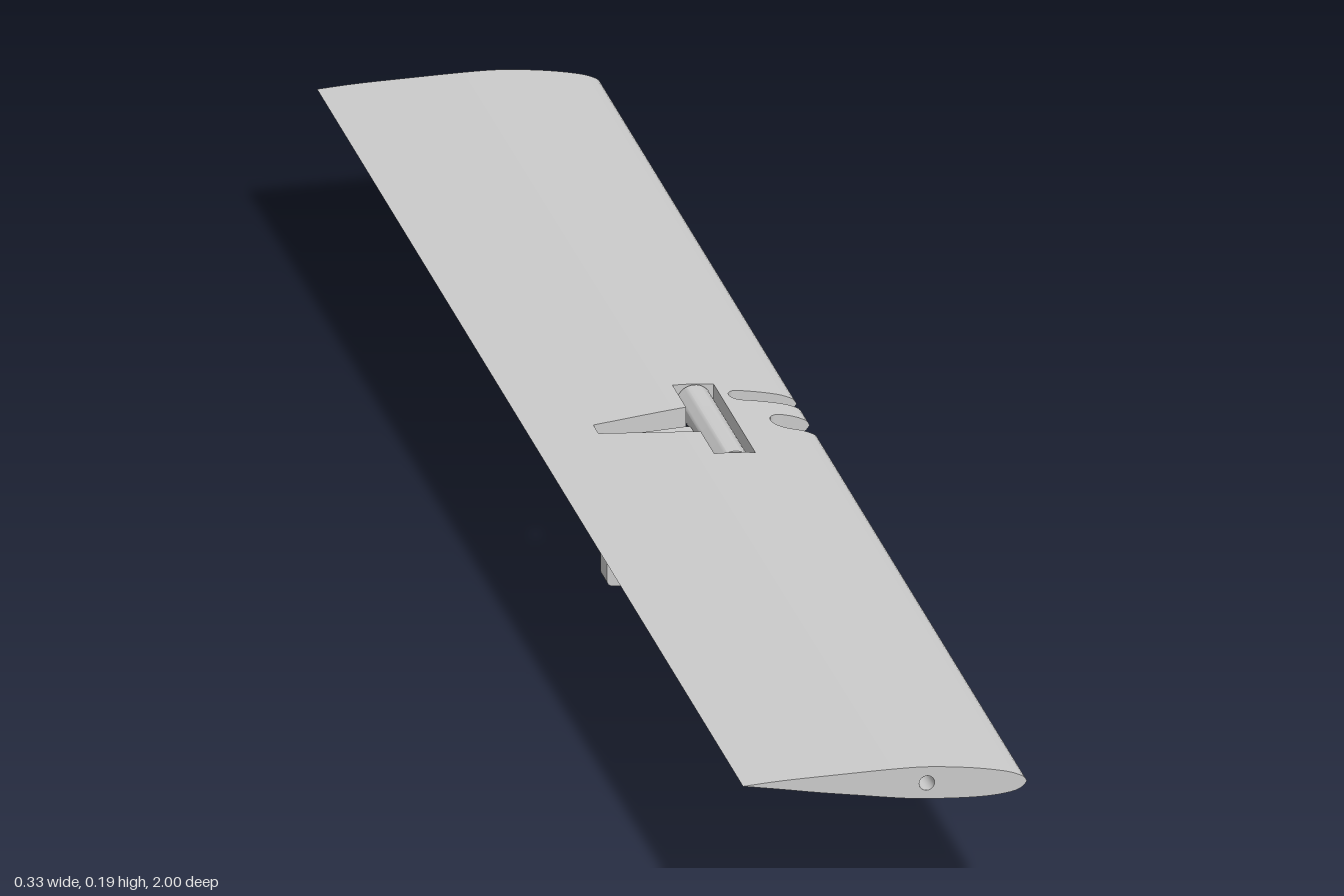
import * as THREE from 'three';
import { toCreasedNormals } from 'three/addons/utils/BufferGeometryUtils.js';

const grey = new THREE.MeshStandardMaterial({ color: 0xcccccc });
const thin = new THREE.MeshStandardMaterial({ color: 0xcccccc, side: THREE.DoubleSide });
const PIVOT = [0.048, 0.169], BORE = 0.009;

function add(parent, name, geometry, material = grey) {
  const mesh = new THREE.Mesh(geometry, material);
  mesh.name = name;
  parent.add(mesh);
  return mesh;
}

// Height of a smooth profile line at x
function profile(points) {
  const pts = new THREE.SplineCurve(points.map(p => new THREE.Vector2(...p))).getPoints(200);
  return x => {
    let i = 1;
    while (i < pts.length - 1 && pts[i].x < x) i++;
    const a = pts[i - 1], b = pts[i];
    const t = THREE.MathUtils.clamp((x - a.x) / (b.x - a.x), 0, 1);
    return a.y + (b.y - a.y) * t;
  };
}
const top = profile([[-0.167, 0.188], [-0.12, 0.19], [-0.05, 0.1905], [0.01, 0.1905], [0.05, 0.189],
  [0.1, 0.1825], [0.14, 0.174], [0.158, 0.167], [0.163, 0.163], [0.165, 0.159]]);
const bottom = profile([[-0.167, 0.188], [-0.12, 0.179], [-0.08, 0.171], [-0.03, 0.162], [0.028, 0.152],
  [0.08, 0.147], [0.12, 0.1455], [0.148, 0.148], [0.16, 0.153], [0.165, 0.159]]);

// Cut-outs seen in plan: x range, centre z and half width along x
const slot = (x0, z, r) => ({
  x0, x1: 0.165, z, half: x => (x > x0 + r ? r : Math.sqrt(Math.max(0, r * r - (x0 + r - x) ** 2)))
});
const cuts = [
  { x0: 0.024, x1: 0.072, z: 0, half: () => 0.098 },
  { x0: -0.09, x1: 0.024, z: 0, half: x => 0.012 + (x + 0.09) / 0.114 * 0.023 },
  slot(0.114, 0, 0.02),
  slot(0.082, -0.068, 0.0135)
];

// Wing stations, dense at the nose and around the slot ends
function stations() {
  const xs = new Set([-0.09, 0.024, 0.072]);
  for (let i = 0; i <= 40; i++) xs.add(+(-0.001 + 0.166 * Math.cos(Math.PI * (1 - i / 40))).toFixed(5));
  for (const c of cuts.slice(2)) for (let i = 0; i <= 8; i++) xs.add(+(c.x0 + 0.02 * (i / 8) ** 2).toFixed(5));
  return [...xs].sort((a, b) => a - b);
}

function wingSkin(xs) {
  const pos = [];
  const quad = (a, b, c, d) => pos.push(...a, ...b, ...c, ...a, ...c, ...d);
  const T = (x, z) => [x, top(x), z], B = (x, z) => [x, bottom(x), z];
  for (let i = 0; i + 1 < xs.length; i++) {
    const p = xs[i], q = xs[i + 1], m = (p + q) / 2;
    const open = cuts.filter(c => m > c.x0 && m < c.x1).sort((a, b) => a.z - b.z);
    // Solid spans between the cut-outs, as [z at p, z at q]
    const edges = [[-1, -1]];
    for (const c of open) edges.push([c.z - c.half(p), c.z - c.half(q)], [c.z + c.half(p), c.z + c.half(q)]);
    edges.push([1, 1]);
    for (let k = 0; k < edges.length; k += 2) {
      const [a0, a1] = edges[k], [b0, b1] = edges[k + 1];
      quad(T(p, a0), T(p, b0), T(q, b1), T(q, a1));
      quad(B(p, a0), B(q, a1), B(q, b1), B(p, b0));
      if (k > 0) quad(T(p, a0), T(q, a1), B(q, a1), B(p, a0));
      if (k + 2 < edges.length) quad(T(p, b0), B(p, b0), B(q, b1), T(q, b1));
    }
  }
  // Walls across the ends of the square-ended cut-outs
  const wall = (x, a, b) => quad(T(x, a), T(x, b), B(x, b), B(x, a));
  wall(-0.09, -0.012, 0.012);
  wall(0.072, -0.098, 0.098);
  wall(0.024, -0.098, -0.035);
  wall(0.024, 0.035, 0.098);
  const g = new THREE.BufferGeometry();
  g.setAttribute('position', new THREE.Float32BufferAttribute(pos, 3));
  return toCreasedNormals(g, 0.6);
}

// Hollow round part along z, made from a closed profile
function sleeve(outer, inner, length) {
  const h = length / 2;
  const pts = [[inner, -h], [outer, -h], [outer, h], [inner, h], [inner, -h]].map(p => new THREE.Vector2(...p));
  return toCreasedNormals(new THREE.LatheGeometry(pts, 32), 0.6).rotateX(Math.PI / 2);
}

// Plate with rounded corners in the xy plane, thinning toward the rear
function taperedPlate(x0, x1, yLow, yHigh, r, rearHalf, frontHalf) {
  const s = new THREE.Shape();
  s.moveTo(x0 + r, yLow);
  s.lineTo(x1 - r, yLow);
  s.quadraticCurveTo(x1, yLow, x1, yLow + r);
  s.lineTo(x1, yHigh - r);
  s.quadraticCurveTo(x1, yHigh, x1 - r, yHigh);
  s.lineTo(x0 + r, yHigh);
  s.quadraticCurveTo(x0, yHigh, x0, yHigh - r);
  s.lineTo(x0, yLow + r);
  s.quadraticCurveTo(x0, yLow, x0 + r, yLow);
  const g = new THREE.ExtrudeGeometry(s, { depth: 2, bevelEnabled: false, curveSegments: 6 }).translate(0, 0, -1);
  const p = g.attributes.position;
  for (let i = 0; i < p.count; i++) {
    const t = (p.getX(i) - x0) / (x1 - x0);
    p.setZ(i, p.getZ(i) * (rearHalf + (frontHalf - rearHalf) * t));
  }
  return toCreasedNormals(g, 0.5);
}

export function createModel() {
  const model = new THREE.Group();
  model.name = 'wingWithMount';

  // Wing with plan cut-outs, end ribs and rod bores
  const wing = new THREE.Group();
  wing.name = 'wing';
  model.add(wing);
  const xs = stations();
  add(wing, 'wingSkin', wingSkin(xs), thin);
  const rib = new THREE.Shape([
    ...xs.map(x => new THREE.Vector2(x, bottom(x))),
    ...xs.slice(1, -1).reverse().map(x => new THREE.Vector2(x, top(x)))
  ]);
  rib.holes.push(new THREE.Path().absarc(...PIVOT, BORE, 0, Math.PI * 2, true));
  for (const side of [1, -1]) {
    add(wing, 'wingEnd', new THREE.ShapeGeometry(rib, 24), thin).position.z = side;
    const bore = new THREE.CylinderGeometry(BORE, BORE, 0.902, 24, 1, true).rotateX(Math.PI / 2);
    add(wing, 'rodBore', bore, thin).position.set(...PIVOT, side * 0.549);
  }

  // Hinge barrel in the wing opening
  add(model, 'hingeBarrel', sleeve(0.0205, BORE, 0.19)).position.set(...PIVOT, 0);

  // Control arm with its end pin
  const dx = 0.1 - PIVOT[0], dy = 0.103 - PIVOT[1], angle = Math.atan2(dy, dx), r = 0.0135;
  const armShape = new THREE.Shape();
  armShape.absarc(0, 0, r, Math.PI / 2, Math.PI * 1.5, false);
  armShape.absarc(Math.hypot(dx, dy), 0, r, -Math.PI / 2, Math.PI / 2, false);
  armShape.holes.push(new THREE.Path().absarc(0, 0, BORE, 0, Math.PI * 2, true));
  const armGeo = new THREE.ExtrudeGeometry(armShape, { depth: 0.02, bevelEnabled: false, curveSegments: 16 });
  const arm = add(model, 'controlArm', toCreasedNormals(armGeo, 0.5));
  arm.position.set(...PIVOT, -0.077);
  arm.rotation.z = angle;
  const pin = new THREE.CylinderGeometry(0.0115, 0.0115, 0.046, 24).rotateX(Math.PI / 2);
  add(model, 'armPin', pin).position.set(0.1, 0.103, -0.075);

  // Mast clamp: upper plate, lower plate and the tapered socket
  const clamp = new THREE.Group();
  clamp.name = 'mastClamp';
  model.add(clamp);
  add(clamp, 'upperPlate', taperedPlate(-0.081, 0.028, 0.089, 0.173, 0.007, 0.013, 0.021));
  add(clamp, 'lowerPlate', taperedPlate(-0.081, 0.028, 0, 0.041, 0.009, 0.015, 0.021));
  const socketProfile = [[0.023, -0.081], [0.033, -0.081], [0.0425, 0.012], [0.0415, 0.019], [0.037, 0.023],
    [0.023, 0.023], [0.023, -0.081]].map(p => new THREE.Vector2(...p));
  const socket = toCreasedNormals(new THREE.LatheGeometry(socketProfile, 40), 0.5).rotateZ(-Math.PI / 2);
  add(clamp, 'socket', socket).position.y = 0.065;

  // Clamp bolts with a hex head on each side
  for (const y of [0.14, 0.022]) {
    for (const side of [1, -1]) {
      const head = new THREE.CylinderGeometry(0.0145, 0.0145, 0.012, 6).toNonIndexed().rotateX(Math.PI / 2);
      head.computeVertexNormals();
      add(clamp, 'boltHead', head).position.set(0.003, y, side * 0.024);
      const tip = new THREE.CylinderGeometry(0.0075, 0.0075, 0.004, 20).rotateX(Math.PI / 2);
      add(clamp, 'boltTip', tip).position.set(0.003, y, side * 0.031);
    }
  }
  return model;
}
